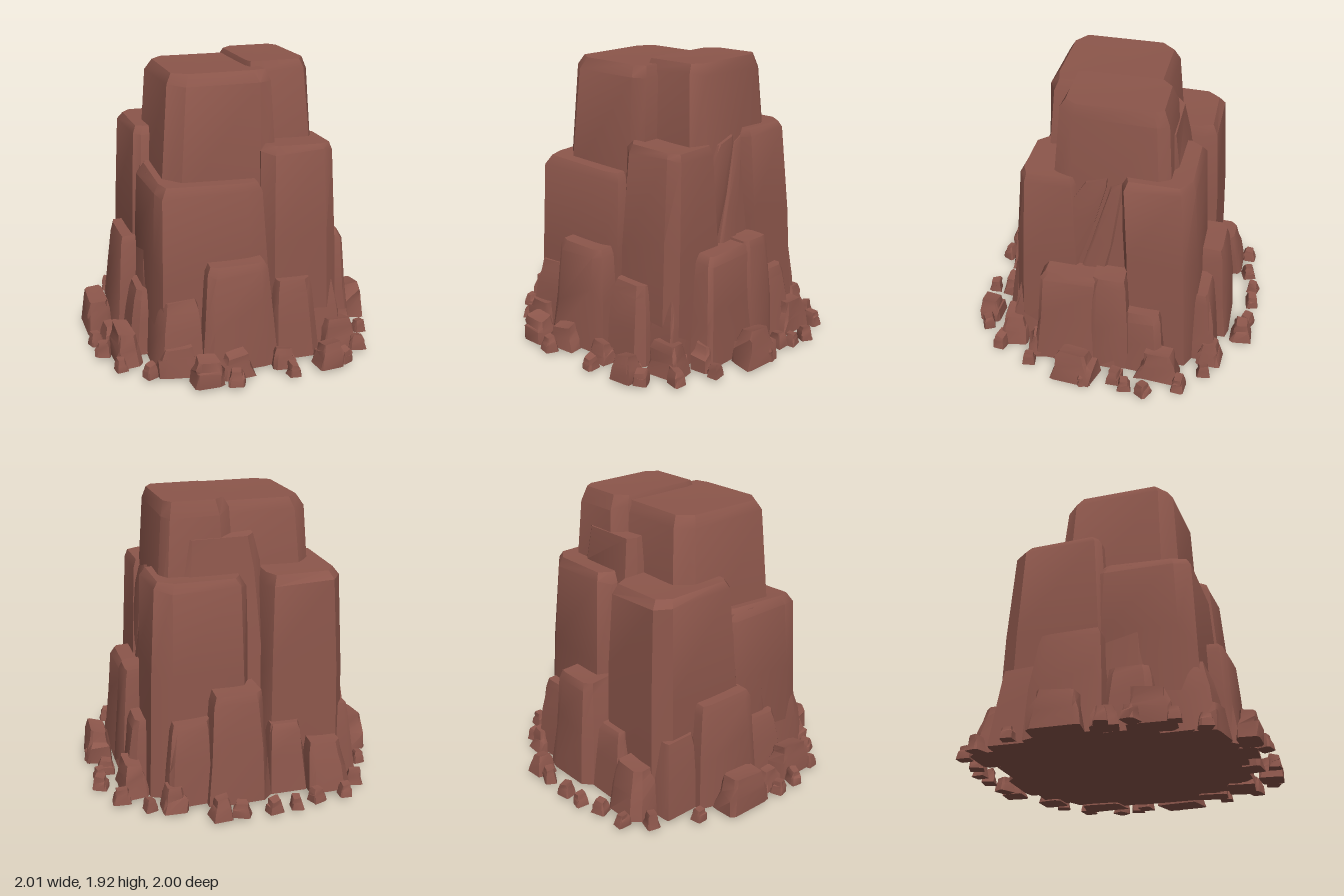
import * as THREE from 'three';
import { toCreasedNormals } from 'three/addons/utils/BufferGeometryUtils.js';

const stone = new THREE.MeshStandardMaterial({ color: 0x8c564b });
stone.name = 'reddish brown stone';

function seeded(seed) {
  let s = seed * 7919 + 17;
  const next = () => {
    s = (s * 16807) % 2147483647;
    return s / 2147483647;
  };
  for (let i = 0; i < 5; i++) next();
  return next;
}

// Closed chunk of stone: chamfered rectangles [x0, x1, z0, z1] lofted from y0 to y1.
// tilt = [rise per x, rise per z] of the top face.
function rockGeometry(bottom, top, y0, y1, seed, { bevel = 0.04, tilt = [0, 0], bulge = 1.02, rough = 0.05 } = {}) {
  const rnd = seeded(seed);
  const k = () => 0.62 + rnd() * 0.3;
  const section = [[1, -k()], [1, k()], [k(), 1], [-k(), 1], [-1, k()], [-1, -k()], [-k(), -1], [k(), -1]];
  const n = section.length, h = y1 - y0;
  const levels = [[0, 1], [0.5, bulge], [1 - bevel / h, 1], [1, 0.9]];
  const pos = [], index = [];
  levels.forEach(([t, scale], level) => {
    const r = bottom.map((b, i) => b + (top[i] - b) * t);
    const cx = (r[0] + r[1]) / 2, cz = (r[2] + r[3]) / 2;
    const hx = (r[1] - r[0]) / 2 * scale, hz = (r[3] - r[2]) / 2 * scale;
    for (const [u, v] of section) {
      const j = 1 - rough * rnd();
      const x = cx + u * hx * j, z = cz + v * hz * j;
      let y = y0 + h * t;
      if (level === 1) y += (rnd() - 0.5) * h * 0.25;
      if (level === 2) y -= rnd() * bevel;
      if (level > 1) y += (x - cx) * tilt[0] + (z - cz) * tilt[1];
      pos.push(x, y, z);
    }
  });
  for (let l = 0; l < levels.length - 1; l++) {
    for (let i = 0; i < n; i++) {
      const a = l * n + i, b = l * n + (i + 1) % n;
      index.push(a, a + n, b, a + n, b + n, b);
    }
  }
  // Caps
  const last = (levels.length - 1) * n, base = pos.length / 3;
  pos.push((bottom[0] + bottom[1]) / 2, y0, (bottom[2] + bottom[3]) / 2);
  pos.push((top[0] + top[1]) / 2, y1 - bevel * 0.15, (top[2] + top[3]) / 2);
  for (let i = 0; i < n; i++) {
    const j = (i + 1) % n;
    index.push(base, i, j, base + 1, last + j, last + i);
  }
  const g = new THREE.BufferGeometry();
  g.setAttribute('position', new THREE.Float32BufferAttribute(pos, 3));
  g.setIndex(index);
  return toCreasedNormals(g, 0.6);
}

const rect = (x, z, w, d) => [x - w / 2, x + w / 2, z - d / 2, z + d / 2];

export function createModel() {
  const model = new THREE.Group();
  model.name = 'rockTower';
  const add = (name, ...args) => {
    const mesh = new THREE.Mesh(rockGeometry(...args), stone);
    mesh.name = name;
    model.add(mesh);
    return mesh;
  };

  // Summit blocks
  add('summitRight', [-0.02, 0.64, -0.48, 0.42], [0.06, 0.51, -0.38, 0.31], 0.1, 1.92, 1, { bevel: 0.05, bulge: 1.04 });
  add('summitLeft', [-0.62, 0.22, -0.42, 0.56], [-0.48, 0.2, -0.3, 0.46], 0.1, 1.89, 2, { bulge: 1.03 });
  add('summitBack', [-0.2, 0.5, -0.6, 0], [-0.12, 0.42, -0.42, 0], 0.1, 1.72, 3, { bevel: 0.12, tilt: [0, 0.2] });

  // Tall shoulder blocks
  add('shoulderFrontLeft', [-0.65, 0.13, -0.08, 0.68], [-0.61, 0.1, -0.05, 0.61], 0.03, 1.23, 4, { tilt: [-0.03, -0.05] });
  add('shoulderFrontRight', [0.08, 0.63, 0.1, 0.66], [0.1, 0.59, 0.16, 0.57], 0.03, 1.42, 5, { bevel: 0.03, tilt: [-0.02, 0] });
  add('shoulderBackLeft', [-0.67, -0.06, -0.66, 0.1], [-0.62, -0.1, -0.6, 0.02], 0.03, 1.47, 6, { tilt: [0, 0.02] });
  add('shoulderBackRight', [-0.05, 0.67, -0.64, -0.12], [0, 0.61, -0.56, -0.08], 0.03, 1.46, 7, { tilt: [0, 0.02] });
  add('shoulderLeft', [-0.68, -0.3, -0.3, 0.4], [-0.6, -0.3, -0.2, 0.3], 0.03, 1.22, 8, { bevel: 0.1 });

  // Leaning slivers in the right-hand cleft
  add('cleftSliverFront', [0.42, 0.6, 0.2, 0.42], [0.42, 0.57, -0.02, 0.14], 0.7, 1.42, 9, { bulge: 1.1, tilt: [0, -0.3] });
  add('cleftSliverBack', [0.42, 0.62, 0, 0.2], [0.42, 0.55, -0.12, -0.02], 0.62, 1.4, 10, { tilt: [0, -0.5] });
  add('cleftFill', [0.3, 0.6, -0.2, 0.3], [0.3, 0.52, -0.15, 0.25], 0.1, 1.2, 11);

  // Buttresses at the foot, tapering and leaning inwards: x, z, width, depth, top
  const buttresses = [
    [-0.12, 0.61, 0.52, 0.42, 0.73], [0.29, 0.58, 0.34, 0.38, 0.56], [0.52, 0.49, 0.24, 0.38, 0.5],
    [-0.5, 0.53, 0.32, 0.44, 0.5], [0.6, 0.14, 0.4, 0.72, 0.76], [0.62, -0.28, 0.35, 0.32, 0.5],
    [0.65, -0.05, 0.3, 0.3, 0.77], [-0.63, -0.15, 0.36, 0.54, 0.74], [-0.62, 0.24, 0.28, 0.37, 0.47],
    [0.12, -0.63, 0.44, 0.38, 0.76], [0.43, -0.58, 0.34, 0.36, 0.58], [-0.22, -0.6, 0.28, 0.32, 0.5],
    [-0.49, -0.67, 0.3, 0.34, 0.36], [-0.6, -0.5, 0.29, 0.32, 0.55],
  ];
  buttresses.forEach(([x, z, w, d, y], i) => {
    const top = rect(x * 0.96, z * 0.96, w * 0.78, d * 0.78);
    add('buttress', rect(x, z, w, d), top, 0.03, y, 20 + i, { tilt: [-0.1 * x, -0.1 * z], rough: 0.08 });
  });

  // Loose stones, roughly as tall as their footprint allows
  const addStone = (name, x, z, w, d, seed, spin) => {
    const r = seeded(seed);
    const s = 0.6 + r() * 0.15, h = 0.85 * Math.sqrt(w * d);
    const rock = add(name, rect(0, 0, w, d), rect(0, 0, w * s, d * s), 0.02, 0.02 + h, seed,
      { bevel: h * 0.2, tilt: [(r() - 0.5) * 0.5, (r() - 0.5) * 0.5], rough: 0.25 });
    rock.position.set(x, 0, z);
    rock.rotation.y = (r() - 0.5) * spin;
  };

  // Boulders: x, z, width, depth
  const boulders = [
    [-0.89, -0.14, 0.21, 0.38], [-0.8, 0.4, 0.19, 0.34], [-0.52, 0.7, 0.3, 0.18], [-0.37, 0.89, 0.24, 0.17],
    [-0.17, 0.84, 0.24, 0.14], [0.16, 0.81, 0.18, 0.13], [0.45, 0.88, 0.2, 0.18], [0.59, 0.64, 0.28, 0.22],
    [0.89, 0.15, 0.21, 0.34], [0.76, -0.4, 0.2, 0.32], [0.72, 0.42, 0.16, 0.24], [0.55, -0.72, 0.2, 0.18],
    [0.29, -0.91, 0.16, 0.16], [-0.85, 0.14, 0.13, 0.2],
  ];
  boulders.forEach(([x, z, w, d], i) => addStone('boulder', x, z, w, d, 60 + i, 0.2));

  // Pebbles: degrees from +x towards +z, distance from the centre
  const pebbles = [
    [258, 0.96], [267, 0.95], [280, 0.95], [237, 1.04], [248, 0.96], [227, 1.01], [209, 0.96], [171, 0.96],
    [161, 0.98], [147, 1.02], [135, 0.98], [102, 0.97], [79, 0.96], [57, 1.04], [45, 1.02], [30, 0.97],
    [5, 0.95], [352, 0.89], [348, 0.96], [341, 1.01], [327, 1.02], [315, 0.99],
  ];
  pebbles.forEach(([degrees, radius], i) => {
    const a = THREE.MathUtils.degToRad(degrees), size = 0.09 + 0.02 * (i % 3);
    addStone('pebble', Math.cos(a) * radius, Math.sin(a) * radius, size, 0.1, 80 + i, 1);
  });

  // Broken underside
  const under = new THREE.CylinderGeometry(0.74, 0.25, 0.05, 14, 3).toNonIndexed();
  under.translate(0, 0.025, 0);
  const p = under.attributes.position;
  for (let i = 0; i < p.count; i++) {
    const x = p.getX(i), z = p.getZ(i);
    const f = 1 + 0.08 * Math.sin(x * 17 + z * 11);
    p.setXYZ(i, x * f, p.getY(i), z * f);
  }
  under.computeVertexNormals();
  const underside = new THREE.Mesh(under, stone);
  underside.name = 'underside';
  model.add(underside);

  return model;
}
